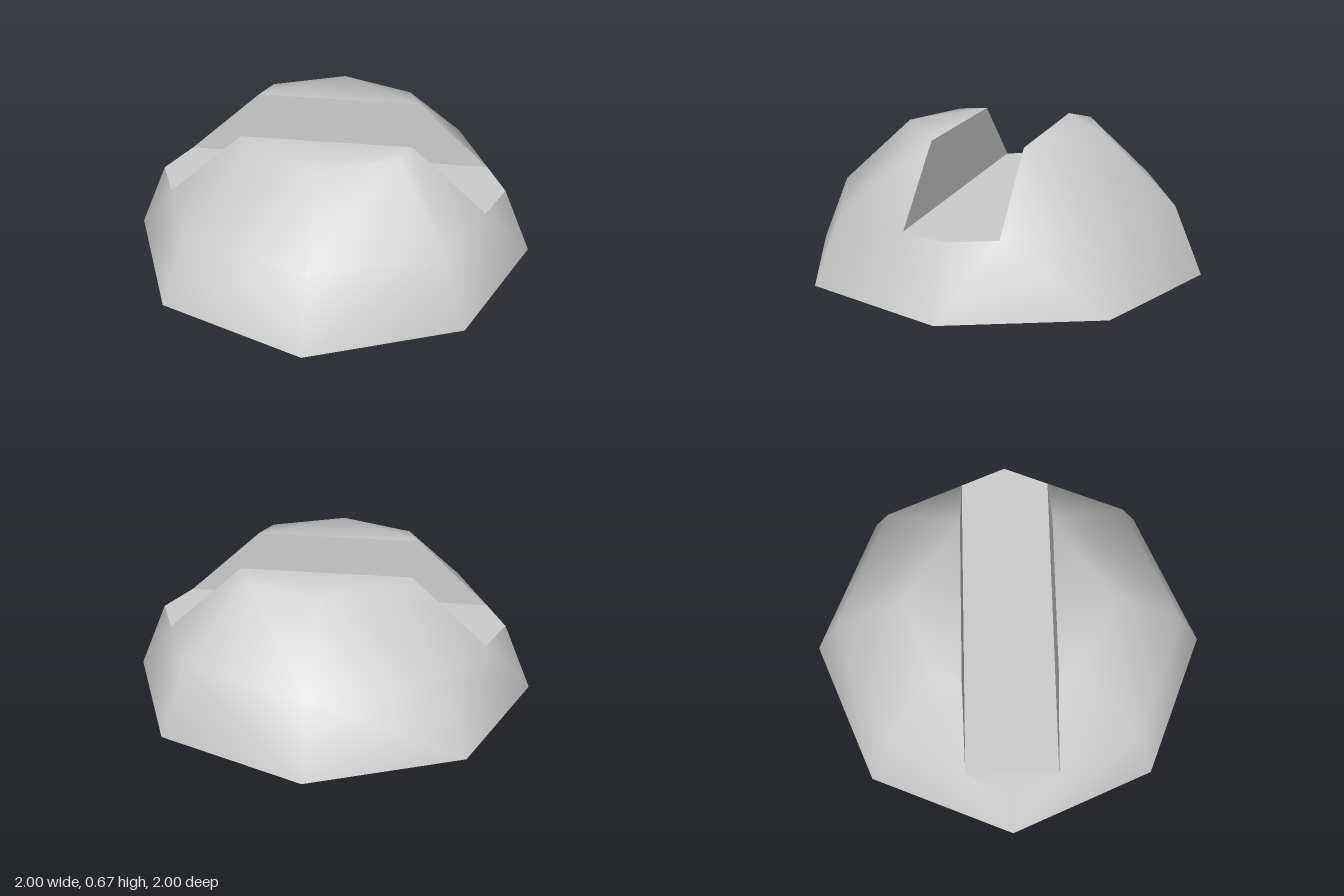
import * as THREE from 'three';
import { mergeVertices } from 'three/addons/utils/BufferGeometryUtils.js';

const SLOT = 0.225; // half width of the slot
const LOW = 1 / 3, HIGH = 2 / 3; // slot floor and dome top
const cut = (r) => r - SLOT * Math.tan(Math.PI / 8); // where an octagon meets the slot wall

// Half an octagon from +x to -x on one side (s = 1 or -1), optionally cut at the slot
function halfRing(r, y, s, clipped) {
  const d = r * Math.SQRT1_2;
  const x = clipped ? cut(r) : r, z = clipped ? SLOT : 0;
  return [[x, z], [d, d], [0, r], [-d, d], [-x, z]].map(([px, pz]) => [px, y, pz * s]);
}

function geometryFrom(triangles) {
  let g = new THREE.BufferGeometry();
  g.setAttribute('position', new THREE.Float32BufferAttribute(triangles.flat(2), 3));
  g = mergeVertices(g, 1e-4);
  g.computeVertexNormals();
  return g;
}

export function createModel() {
  const model = new THREE.Group();
  model.name = 'slottedDome';
  const grey = new THREE.MeshStandardMaterial({ color: 0xcccccc, side: THREE.DoubleSide });
  grey.name = 'lightGrey';

  const shell = [];
  for (const s of [1, -1]) {
    const add = (a, b, c) => shell.push(s > 0 ? [a, b, c] : [a, c, b]);
    const base = halfRing(1, 0, s, false);
    const mid = halfRing(0.862, LOW, s, true);
    const top = halfRing(0.5, HIGH, s, true);
    // Sloping bands
    for (const [lo, hi] of [[base, mid], [mid, top]]) {
      for (let i = 0; i < 4; i++) {
        add(lo[i], hi[i], lo[i + 1]);
        add(lo[i + 1], hi[i], hi[i + 1]);
      }
    }
    // Corners at the slot ends
    add(base[0], [0.862, LOW, 0], mid[0]);
    add(base[4], mid[4], [-0.862, LOW, 0]);
    // Flat top
    add(top[0], top[2], top[1]);
    add(top[0], top[4], top[2]);
    add(top[4], top[3], top[2]);

    // Upright slot wall, facing the middle
    const wall = s > 0
      ? [[mid[0], mid[4], top[4]], [mid[0], top[4], top[0]]]
      : [[mid[0], top[4], mid[4]], [mid[0], top[0], top[4]]];
    const wallMesh = new THREE.Mesh(geometryFrom(wall), grey);
    wallMesh.name = s > 0 ? 'frontSlotWall' : 'backSlotWall';
    model.add(wallMesh);
  }
  const dome = new THREE.Mesh(geometryFrom(shell), grey);
  dome.name = 'domeShell';
  model.add(dome);

  // Six-sided slot floor
  const c = cut(0.862);
  const outline = [[0.862, 0], [c, SLOT], [-c, SLOT], [-0.862, 0], [-c, -SLOT], [c, -SLOT]];
  const floor = new THREE.Mesh(
    new THREE.ShapeGeometry(new THREE.Shape(outline.map(([x, z]) => new THREE.Vector2(x, z)))), grey);
  floor.rotation.x = -Math.PI / 2;
  floor.position.y = LOW;
  floor.name = 'slotFloor';
  model.add(floor);
  return model;
}
